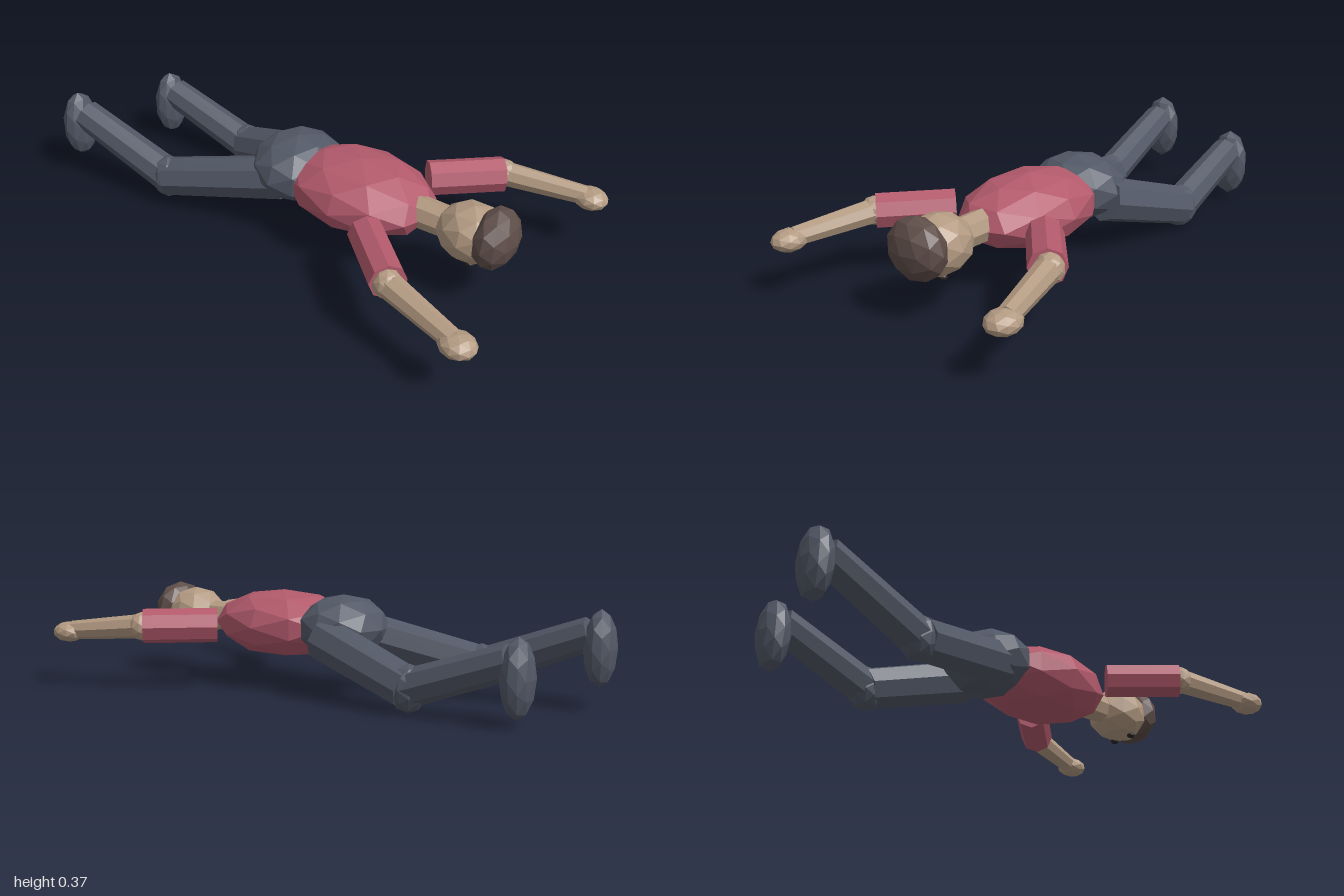
import * as THREE from 'three';

const mat = (name, color) => {
  const m = new THREE.MeshStandardMaterial({ color, flatShading: true });
  m.name = name;
  return m;
};

export function createModel() {
  const model = new THREE.Group();
  model.name = 'lyingFigure';
  const shirt = mat('shirt red', 0xb35a6c);
  const trousers = mat('trousers slate', 0x525866);
  const skin = mat('skin', 0xb39a82);
  const hair = mat('hair brown', 0x5e4d48);
  const dark = mat('eye dark', 0x2a2424);

  // Faceted ellipsoid; the body lies face down, its upward axis along +z
  function blob(name, material, center, radii, detail = 1) {
    const geo = new THREE.IcosahedronGeometry(1, detail).rotateX(Math.PI / 2);
    geo.scale(...radii);
    const mesh = new THREE.Mesh(geo, material);
    mesh.name = name;
    mesh.position.set(...center);
    model.add(mesh);
  }

  // Eight-sided tapered cylinder from a to b
  function limb(name, material, a, b, ra, rb) {
    const from = new THREE.Vector3(...a), to = new THREE.Vector3(...b);
    const geo = new THREE.CylinderGeometry(rb, ra, from.distanceTo(to), 8);
    geo.rotateX(Math.PI / 2);
    const mesh = new THREE.Mesh(geo, material);
    mesh.name = name;
    mesh.position.copy(from).lerp(to, 0.5);
    mesh.lookAt(to);
    model.add(mesh);
  }

  // Trunk and head
  blob('torso', shirt, [0, 0.24, 0.25], [0.21, 0.13, 0.3]);
  blob('pelvis', trousers, [0, 0.245, -0.03], [0.187, 0.122, 0.17]);
  limb('neck', skin, [0, 0.245, 0.48], [0, 0.245, 0.64], 0.06, 0.057);
  blob('head', skin, [0, 0.245, 0.71], [0.115, 0.108, 0.13]);
  blob('hair', hair, [0, 0.258, 0.8], [0.12, 0.113, 0.077]);

  // Arms and eyes, mirrored
  for (const [side, s] of [['left', 1], ['right', -1]]) {
    const elbow = [0.402 * s, 0.24, 0.622];
    limb(side + 'UpperArm', shirt, [0.209 * s, 0.24, 0.413], [0.395 * s, 0.24, 0.622], 0.066, 0.066);
    blob(side + 'Elbow', skin, elbow, [0.052, 0.055, 0.05]);
    limb(side + 'Forearm', skin, elbow, [0.485 * s, 0.212, 0.915], 0.047, 0.036);
    blob(side + 'Hand', skin, [0.488 * s, 0.205, 0.932], [0.058, 0.04, 0.066]);
    blob(side + 'Eye', dark, [0.045 * s, 0.15, 0.735], [0.016, 0.012, 0.016]);
  }

  // Legs, each with its own bend
  const legs = [
    { side: 'left', hip: [0.125, 0.215, -0.03], knee: [0.195, 0.087, -0.435],
      ankle: [0.18, 0.215, -0.81], foot: [0.18, 0.16, -0.836] },
    { side: 'right', hip: [-0.08, 0.22, -0.04], knee: [-0.205, 0.113, -0.505],
      ankle: [-0.233, 0.265, -0.91], foot: [-0.236, 0.215, -0.944] },
  ];
  for (const { side, hip, knee, ankle, foot } of legs) {
    limb(side + 'Thigh', trousers, hip, knee, 0.085, 0.077);
    blob(side + 'Knee', trousers, knee, [0.07, 0.086, 0.07]);
    limb(side + 'Shin', trousers, knee, ankle, 0.068, 0.06);
    blob(side + 'Foot', trousers, foot, [0.078, 0.137, 0.056]);
  }
  return model;
}
